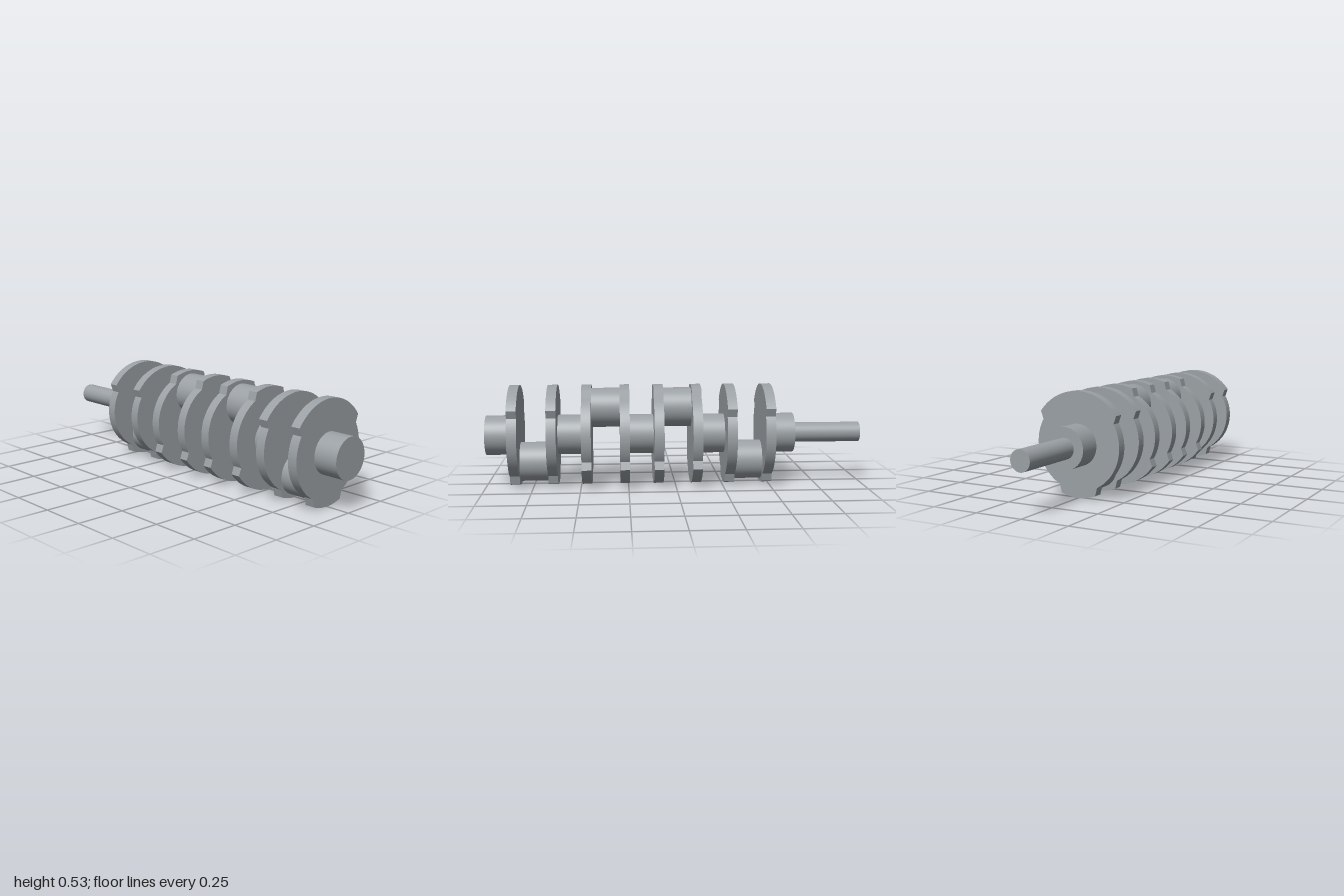
import * as THREE from 'three';
import { toCreasedNormals } from 'three/addons/utils/BufferGeometryUtils.js';

const AXIS_Y = 0.265;   // height of the shaft centreline
const THROW = 0.144;    // crank pin offset
const JOURNAL_R = 0.105;
const WEB = 0.051;      // web thickness

export function createModel() {
  const model = new THREE.Group();
  model.name = 'crankshaft';
  const steel = new THREE.MeshStandardMaterial({ color: 0x9aa0a4 });
  steel.name = 'steel grey';

  const add = (name, geometry, x, y) => {
    const mesh = new THREE.Mesh(geometry, steel);
    mesh.name = name;
    mesh.position.set(x, y, 0);
    model.add(mesh);
    return mesh;
  };

  // Round bar lying along x between two stations
  const bar = (name, x0, x1, radius, y = AXIS_Y) =>
    add(name, new THREE.CylinderGeometry(radius, radius, x1 - x0, 64).rotateZ(-Math.PI / 2), (x0 + x1) / 2, y);

  // Web outline: wide counterweight at the top, narrow lobe at the pin end, notched waists
  const outline = new THREE.Shape();
  [
    [0.265, 36, 144],
    [0.231, 150, 242.4],
    [0.265, 248.8, 291.2],
    [0.231, 297.6, 390],
  ].forEach(([r, a, b]) =>
    outline.absarc(0, 0, r, THREE.MathUtils.degToRad(a), THREE.MathUtils.degToRad(b), false));
  const webGeometry = toCreasedNormals(
    new THREE.ExtrudeGeometry(outline, { depth: WEB, bevelEnabled: false, curveSegments: 32 })
      .rotateY(Math.PI / 2), 0.4);

  // Nose and end journals
  bar('nose', -1, -0.637, 0.053);
  bar('frontJournal', -0.637, -0.513, JOURNAL_R);
  bar('rearJournal', 0.872, 1, JOURNAL_R);

  // Four throws, each a pin between two webs, joined by main journals
  const starts = [-0.513, -0.135, 0.243, 0.621];
  const sides = [-1, 1, 1, -1];
  starts.forEach((x, i) => {
    const side = sides[i];
    const second = x + 0.2;
    for (const wx of [x, second]) {
      const web = add('web', webGeometry, wx, AXIS_Y);
      if (side > 0) web.rotation.x = Math.PI;
    }
    bar('crankPin', x + WEB, second, 0.104, AXIS_Y + side * THROW);
    if (i < starts.length - 1) bar('mainJournal', second + WEB, starts[i + 1], JOURNAL_R);
  });

  return model;
}
